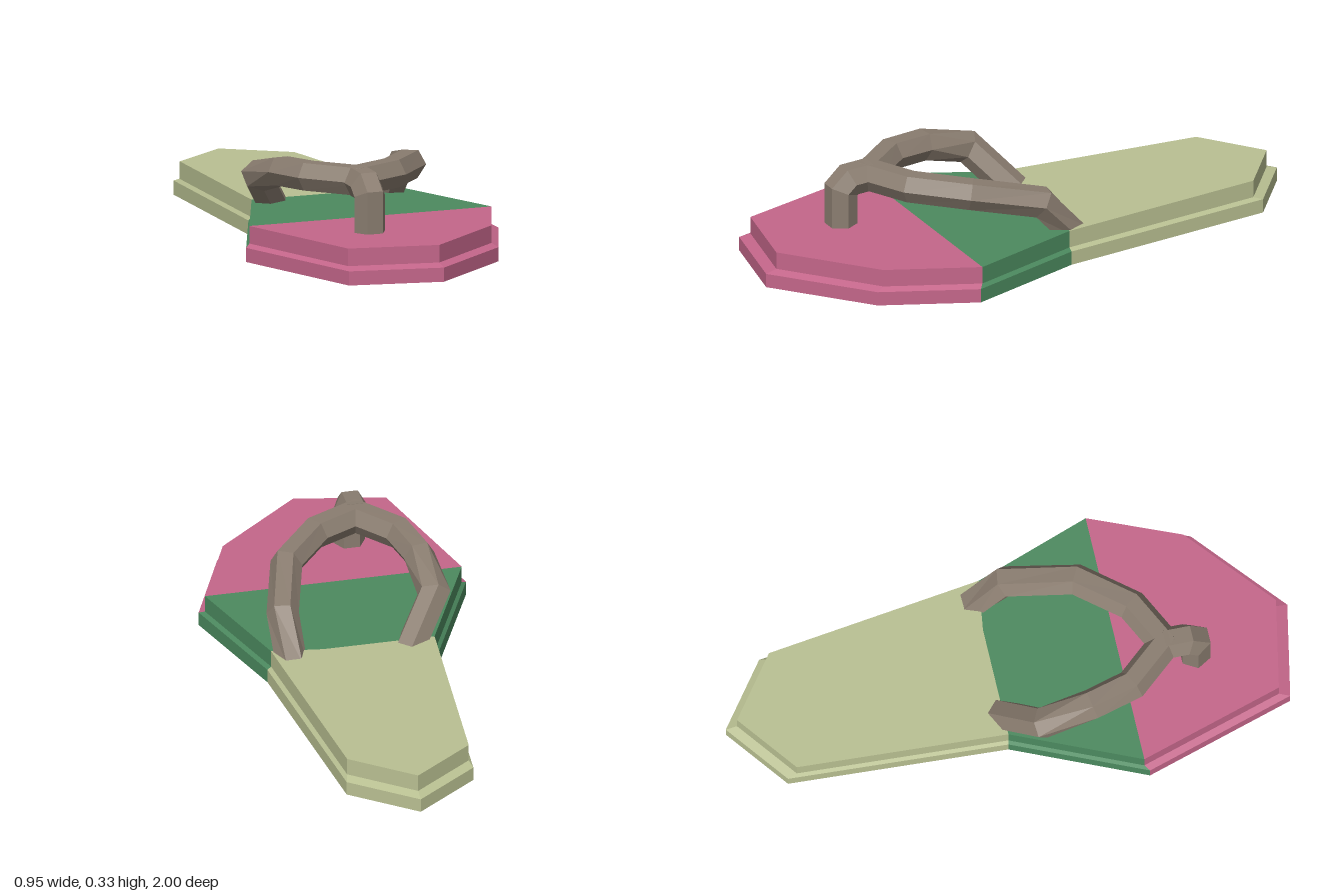
import * as THREE from 'three';

const V = (x, y, z) => new THREE.Vector3(x, y, z);

function makeMesh(name, color, tris) {
  const geometry = new THREE.BufferGeometry().setFromPoints(tris);
  geometry.computeVertexNormals();
  const mesh = new THREE.Mesh(geometry, new THREE.MeshStandardMaterial({ color, flatShading: true }));
  mesh.name = name;
  return mesh;
}

// Stepped sole profile: height and outline scale, bottom to top
const LAYERS = [[0, 1], [0.05, 1], [0.061, 0.96], [0.123, 0.96]];

// One colour zone of the sole. Points are [x, z, seam]; seam marks an inner edge without a wall.
function soleZone(name, color, points) {
  const rings = LAYERS.map(([y, s]) => points.map(([x, z]) => V(x * s, y, z * s)));
  const tris = [];
  const n = points.length;
  for (let k = 0; k < rings.length - 1; k++) {
    const lo = rings[k], hi = rings[k + 1];
    for (let i = 0; i < n; i++) {
      if (points[i][2]) continue;
      const j = (i + 1) % n;
      tris.push(lo[i], hi[i], lo[j], hi[i], hi[j], lo[j]);
    }
  }
  const bottom = rings[0], top = rings[rings.length - 1];
  for (let i = 1; i < n - 1; i++) {
    tris.push(bottom[0], bottom[i], bottom[i + 1]);
    tris.push(top[0], top[i + 1], top[i]);
  }
  return makeMesh(name, color, tris);
}

// Six-sided bar along a path, mitred at every bend, with flat upper and lower faces
function hexBar(name, color, path, radius, fixedSide) {
  const pts = path.map((p) => V(...p));
  const dirs = pts.slice(1).map((p, i) => p.clone().sub(pts[i]).normalize());
  const rings = pts.map((p, i) => {
    const before = dirs[Math.max(i - 1, 0)];
    const after = dirs[Math.min(i, dirs.length - 1)];
    const plane = before.clone().add(after).normalize();
    const side = fixedSide ? fixedSide.clone() : V(0, 1, 0).cross(before).normalize();
    const up = before.clone().cross(side).normalize();
    return Array.from({ length: 6 }, (_, k) => {
      const a = (k * Math.PI) / 3;
      const off = side.clone().multiplyScalar(Math.cos(a) * radius)
        .addScaledVector(up, Math.sin(a) * radius);
      off.addScaledVector(before, -off.dot(plane) / before.dot(plane));
      return off.add(p);
    });
  });
  const tris = [];
  for (let r = 0; r < rings.length - 1; r++) {
    for (let k = 0; k < 6; k++) {
      const j = (k + 1) % 6, a = rings[r], b = rings[r + 1];
      tris.push(a[k], a[j], b[k], a[j], b[j], b[k]);
    }
  }
  const first = rings[0], last = rings[rings.length - 1];
  for (let k = 1; k < 5; k++) {
    tris.push(first[0], first[k + 1], first[k]);
    tris.push(last[0], last[k], last[k + 1]);
  }
  return makeMesh(name, color, tris);
}

export function createModel() {
  const model = new THREE.Group();
  model.name = 'sandal';

  // Sole in three coloured zones
  const sole = new THREE.Group();
  sole.name = 'sole';
  sole.add(
    soleZone('toeSole', 0xc4668a, [
      [0.475, 0.4], [0.335, 0.73], [0.015, 1], [-0.315, 0.935], [-0.475, 0.4, 1],
    ]),
    soleZone('middleSole', 0x4c8a5f, [
      [0.14, -0.057, 1], [0.327, -0.03], [0.475, 0.4, 1], [-0.475, 0.4], [-0.272, -0.057, 1],
    ]),
    soleZone('heelSole', 0xb9c092, [
      [0.14, -0.057, 1], [-0.272, -0.057], [-0.225, -0.83], [0, -1], [0.225, -0.83], [0.327, -0.03, 1],
    ]),
  );
  model.add(sole);

  // Strap from the right anchor over the toe knot to the left anchor, and the toe post
  const strapColor = 0x8a7d70;
  const strap = new THREE.Group();
  strap.name = 'strap';
  strap.add(
    hexBar('footStrap', strapColor, [
      [-0.165, 0.08, -0.07], [-0.285, 0.23, 0.06], [-0.272, 0.278, 0.24], [-0.235, 0.285, 0.39],
      [-0.112, 0.285, 0.535],
      [0.05, 0.285, 0.455], [0.188, 0.277, 0.29], [0.255, 0.225, 0.05], [0.25, 0.08, -0.075],
    ], 0.056),
    hexBar('toePost', strapColor, [
      [-0.113, 0.09, 0.642], [-0.113, 0.25, 0.642], [-0.113, 0.28, 0.61], [-0.113, 0.285, 0.53],
    ], 0.0575, V(1, 0, 0)),
  );
  model.add(strap);

  return model;
}
